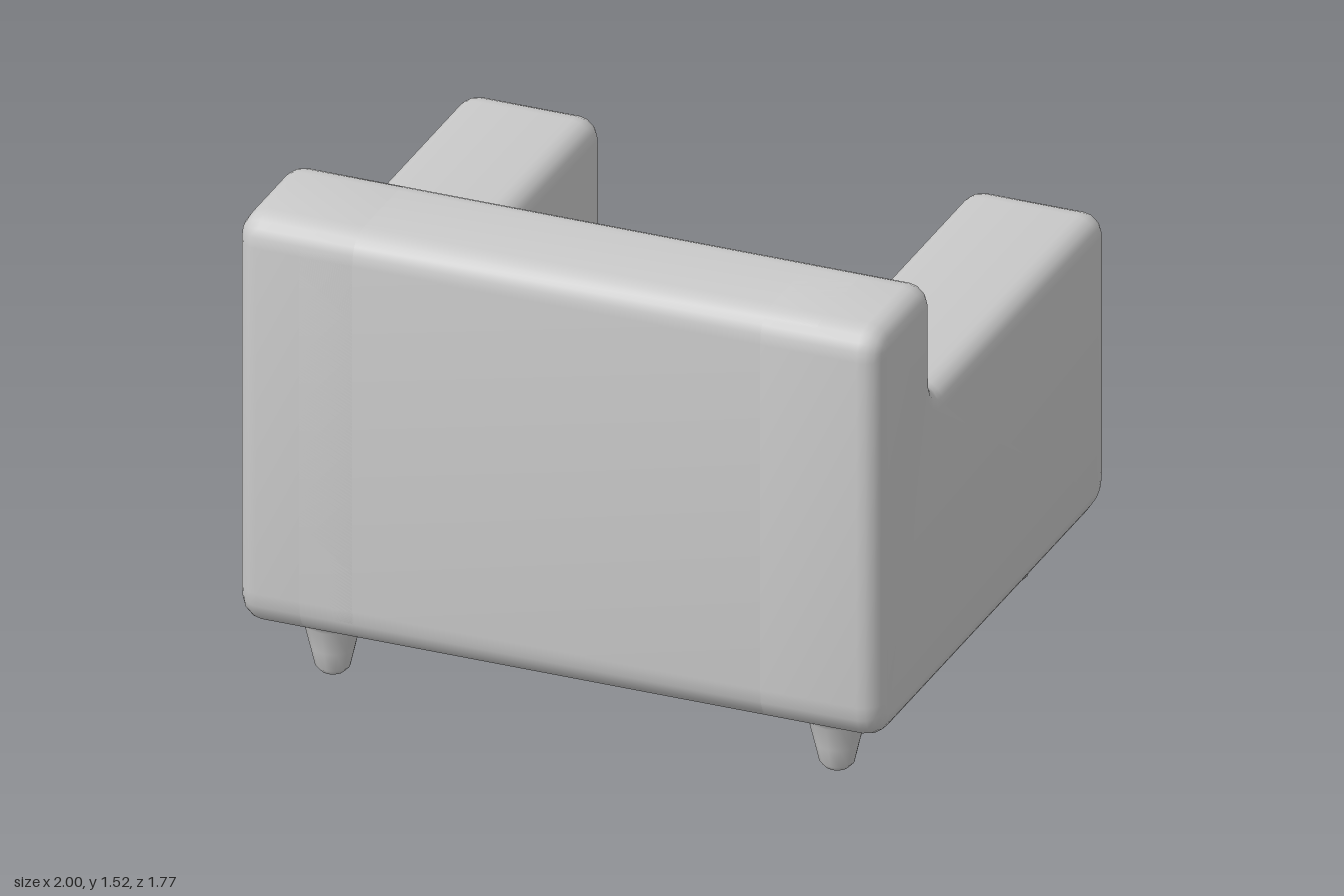
import * as THREE from 'three';
import { mergeVertices, toCreasedNormals } from 'three/addons/utils/BufferGeometryUtils.js';

const grey = new THREE.MeshStandardMaterial({ color: 0xcccccc });

function part(name, geometry) {
  const mesh = new THREE.Mesh(geometry, grey);
  mesh.name = name;
  return mesh;
}

// Closed outline in (z, y) with a rounding distance for every corner: [z, y, r]
function roundedShape(corners) {
  const shape = new THREE.Shape();
  const n = corners.length;
  corners.forEach(([z, y, r], i) => {
    const p = new THREE.Vector2(z, y);
    const toward = ([a, b]) => new THREE.Vector2(a, b).sub(p).setLength(r).add(p);
    const a = toward(corners[(i + n - 1) % n]);
    const b = toward(corners[(i + 1) % n]);
    if (i === 0) shape.moveTo(a.x, a.y);
    else shape.lineTo(a.x, a.y);
    shape.quadraticCurveTo(z, y, b.x, b.y);
  });
  shape.closePath();
  return shape;
}

// Extrude a (z, y) outline along x, centred on x = 0, with an inset bevel
function extrudeAlongX(corners, width, bevel) {
  const geometry = new THREE.ExtrudeGeometry(roundedShape(corners), {
    depth: width - 2 * bevel,
    curveSegments: 5,
    bevelEnabled: bevel > 0,
    bevelThickness: bevel,
    bevelSize: bevel,
    bevelOffset: -bevel,
    bevelSegments: 4,
  });
  geometry.translate(0, 0, -(width / 2 - bevel));
  geometry.rotateY(-Math.PI / 2);
  return toCreasedNormals(geometry, 0.8);
}

// Soft box: grid crowded toward the edges, rounded, then crowned on top
function cushionGeometry(hx, hy, hz, r) {
  let geometry = new THREE.BoxGeometry(2, 2, 2, 20, 12, 22);
  geometry.deleteAttribute('normal');
  geometry.deleteAttribute('uv');
  geometry = mergeVertices(geometry);
  const pos = geometry.attributes.position;
  const half = new THREE.Vector3(hx, hy, hz);
  const inner = half.clone().subScalar(r);
  const p = new THREE.Vector3();
  const core = new THREE.Vector3();
  const crowd = (t) => Math.sign(t) * Math.pow(Math.abs(t), 0.6);
  for (let i = 0; i < pos.count; i++) {
    p.fromBufferAttribute(pos, i);
    p.set(crowd(p.x), crowd(p.y), crowd(p.z)).multiply(half);
    core.copy(p).clamp(inner.clone().negate(), inner);
    p.sub(core).setLength(r).add(core);
    const u = p.x / hx, v = p.y / hy, w = p.z / hz;
    // Crowned, slightly worn top
    if (v > 0) {
      p.y += v * (1 - u * u) * (1 - w * w) * (0.035 + 0.008 * Math.sin(5 * u + 2) * Math.cos(4 * w));
    }
    // Front face leans back toward the top
    if (w < 0) p.z += w * w * 0.025 * Math.max(0, v + 0.4);
    pos.setXYZ(i, p.x, p.y, p.z);
  }
  geometry.computeVertexNormals();
  return geometry;
}

export function createModel() {
  const chair = new THREE.Group();
  chair.name = 'armchair';

  // Side panels: arm and end of the backrest in one L-shaped outline
  const sideOutline = [
    [-0.83, 0.205, 0.12], [0.885, 0.205, 0.12], [0.885, 1.525, 0.09],
    [0.46, 1.525, 0.09], [0.46, 1.15, 0.07], [-0.83, 1.15, 0.09],
  ];
  const inside = 0.57;
  for (const side of [1, -1]) {
    const arm = part(side > 0 ? 'leftArm' : 'rightArm', extrudeAlongX(sideOutline, 1 - inside, 0.065));
    arm.position.x = side * (1 + inside) / 2;
    chair.add(arm);
  }

  // Seat base and backrest between the arms, ends buried inside the side panels
  const middleOutline = [
    [-0.83, 0.205, 0.12], [0.885, 0.205, 0.12], [0.885, 1.525, 0.09],
    [0.46, 1.525, 0.09], [0.46, 0.66, 0.03], [-0.83, 0.66, 0.06],
  ];
  chair.add(part('seatBaseAndBackrest', extrudeAlongX(middleOutline, 1.6, 0)));

  // Seat cushion, overhanging the base
  const cushion = part('seatCushion', cushionGeometry(0.573, 0.178, 0.675, 0.075));
  cushion.position.set(0, 0.605, -0.215);
  chair.add(cushion);

  // Tapered feet flaring into the underside
  const footProfile = [
    [0, 0], [0.035, 0.012], [0.052, 0.03], [0.066, 0.09],
    [0.084, 0.165], [0.1, 0.19], [0.15, 0.212],
  ].map(([r, y]) => new THREE.Vector2(r, y));
  const footGeometry = new THREE.LatheGeometry(footProfile, 12);
  for (const x of [-0.785, 0.785]) {
    for (const z of [-0.615, 0.67]) {
      const foot = part('foot', footGeometry);
      foot.position.set(x, 0, z);
      chair.add(foot);
    }
  }
  return chair;
}
